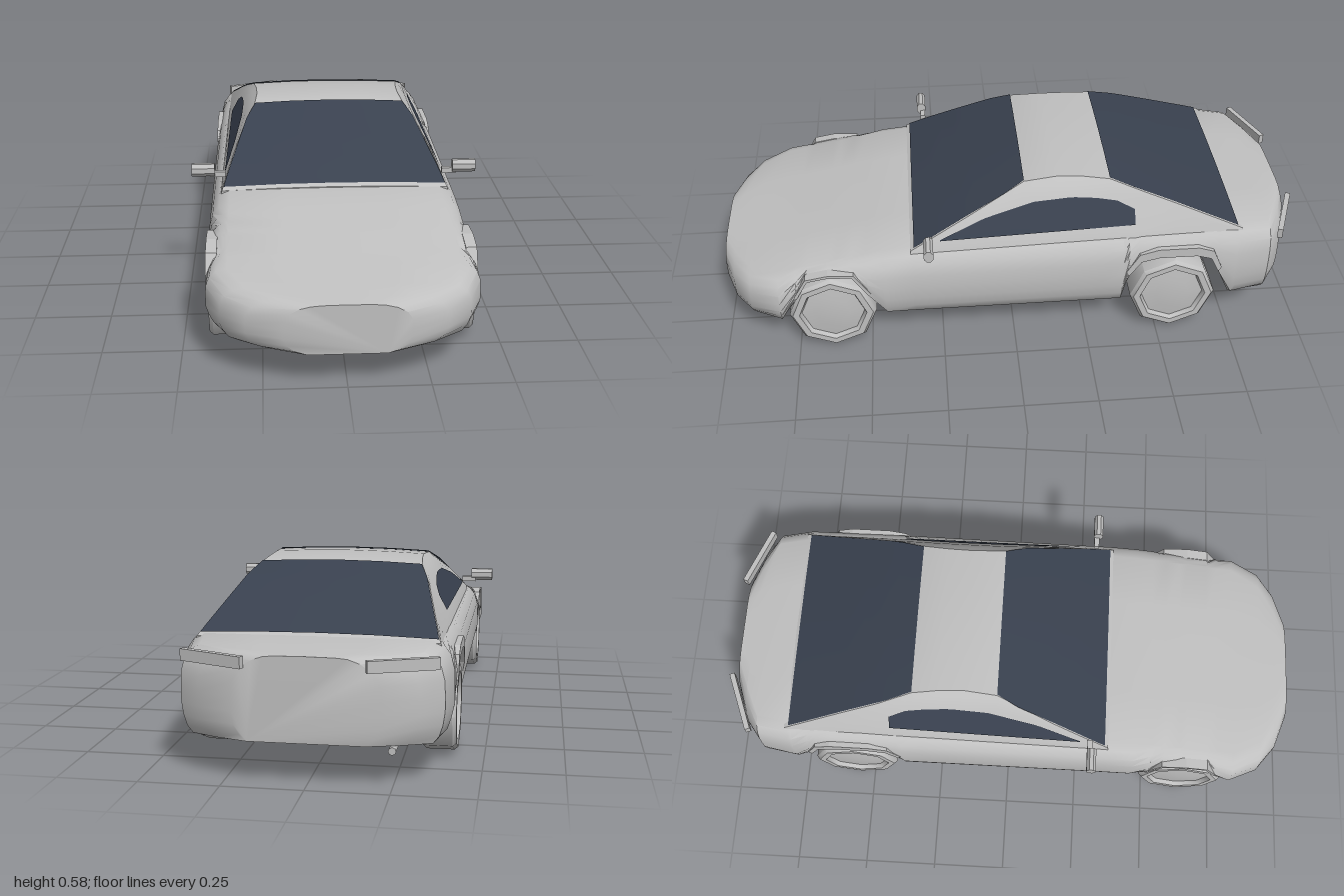
import * as THREE from 'three';
import { toCreasedNormals } from 'three/addons/utils/BufferGeometryUtils.js';

const paint = new THREE.MeshStandardMaterial({ color: 0xc0c0c0 });
paint.name = 'grey paint';
const glass = new THREE.MeshStandardMaterial({ color: 0x39414f, side: THREE.DoubleSide });
glass.name = 'dark glass';

// Piecewise linear lookup in a table of [position, value]
function at(table, t) {
  if (t <= table[0][0]) return table[0][1];
  for (let i = 1; i < table.length; i++) {
    const [a, va] = table[i - 1], [b, vb] = table[i];
    if (t <= b) return va + (vb - va) * (t - a) / (b - a);
  }
  return table[table.length - 1][1];
}

// Body tables along z: half width, deck height, underside with wheel arches
const bodyWidth = [[-0.97, 0.22], [-0.93, 0.33], [-0.88, 0.395], [-0.77, 0.415], [-0.5, 0.42],
  [0.8, 0.42], [0.9, 0.375], [0.96, 0.3], [1, 0.19]];
const deck = [[-0.97, 0.385], [-0.77, 0.403], [-0.3, 0.394], [0.34, 0.381], [0.44, 0.37],
  [0.6, 0.34], [0.8, 0.3], [1, 0.265]];
const rearArch = [[-0.76, 0.11], [-0.7, 0.25], [-0.67, 0.31], [-0.62, 0.325], [-0.49, 0.325],
  [-0.43, 0.31], [-0.39, 0.25], [-0.37, 0.11]];
const frontArch = [[0.44, 0.11], [0.5, 0.23], [0.55, 0.31], [0.63, 0.315], [0.7, 0.302], [0.74, 0.23], [0.8, 0.11]];
const underside = [[-0.97, 0.13], ...rearArch, ...frontArch, [1, 0.11]];
const sideCurve = [[0, 0.88], [0.08, 0.95], [0.3, 1], [0.68, 1], [0.85, 0.97], [0.95, 0.92], [1, 0.84]];
const endRounding = [[-0.97, 0.28], [-0.88, 0], [0.88, 0], [1, 0.26]];

// Cabin tables: roof height along z, half width by height
const roof = [[-0.78, 0.405], [-0.55, 0.492], [-0.45, 0.528], [-0.33, 0.568], [-0.24, 0.577], [-0.15, 0.58],
  [-0.04, 0.572], [0.15, 0.485], [0.25, 0.437], [0.35, 0.387]];
const cabinWidth = [[0.36, 0.385], [0.39, 0.375], [0.42, 0.36], [0.53, 0.3], [0.56, 0.272], [0.58, 0.25]];

// Skin through half sections (bottom to top on the left, mirrored), back to front
function loft(stations, halfSection, crease) {
  const rings = stations.map((z) => {
    const half = halfSection(z);
    const other = half.slice().reverse().filter(([x]) => x > 0).map(([x, y]) => [-x, y]);
    return [...half, ...other].map(([x, y]) => [x, y, z]);
  });
  const n = rings[0].length, pos = [], index = [];
  rings.forEach((r) => r.forEach((p) => pos.push(...p)));
  for (let i = 0; i < rings.length - 1; i++) {
    for (let j = 0; j < n; j++) {
      const k = (j + 1) % n, a = i * n + j, b = i * n + k, c = b + n, d = a + n;
      index.push(a, b, d, b, c, d);
    }
  }
  // End caps
  const last = (rings.length - 1) * n;
  for (let j = 1; j < n - 1; j++) index.push(0, j + 1, j, last, last + j, last + j + 1);
  const g = new THREE.BufferGeometry();
  g.setAttribute('position', new THREE.Float32BufferAttribute(pos, 3));
  g.setIndex(index);
  return toCreasedNormals(g, crease);
}

function bodySection(z) {
  const w = at(bodyWidth, z), h = at(deck, z), low = at(underside, z);
  const start = (low - 0.11) / (h - 0.11);
  const side = [0, 0.08, 0.2, 0.35, 0.52, 0.7, 0.85, 0.95, 1].map((u) => {
    const f = start + (1 - start) * u;
    const x = at(sideCurve, f) - at(endRounding, z) * (2 * f - 1) ** 4;
    return [w * x, 0.11 + (h - 0.11) * f];
  });
  return [...side, [w * 0.4, h + 0.003], [0, h + 0.004]];
}

// Height of the cabin top at fraction s of its half width
const roofEdge = (z) => at(roof, z) - 0.008;
const roofY = (s, z) => at([[0, at(roof, z)], [0.5, at(roof, z) - 0.002], [1, roofEdge(z)]], Math.abs(s));

function cabinSection(z) {
  const e = roofEdge(z);
  const side = [0, 0.15, 0.3, 0.55, 0.8, 0.92, 1].map((u) => {
    const y = 0.36 + (e - 0.36) * u;
    return [at(cabinWidth, y), y];
  });
  return [...side, [at(cabinWidth, e) * 0.5, roofY(0.5, z)], [0, roofY(0, z)]];
}

// Open sheet over a grid of parameters from 0 to 1
function sheet(nu, nv, fn) {
  const g = new THREE.PlaneGeometry(1, 1, nu, nv), p = g.attributes.position;
  for (let i = 0; i < p.count; i++) p.setXYZ(i, ...fn(p.getX(i) + 0.5, p.getY(i) + 0.5));
  g.computeVertexNormals();
  return g;
}

function screen(z0, z1) {
  return sheet(8, 16, (u, v) => {
    const z = z0 + (z1 - z0) * v, s = 2 * u - 1;
    return [s * at(cabinWidth, roofEdge(z)) * 0.99, roofY(s, z) + 0.004, z];
  });
}

function sideWindow(side) {
  const top = [[-0.41, 0.475], [-0.35, 0.503], [-0.28, 0.514], [-0.2, 0.52], [-0.07, 0.512], [0.1, 0.47], [0.25, 0.412]];
  return sheet(33, 6, (u, v) => {
    const z = -0.41 + 0.66 * u, low = 0.427 - 0.018 * u;
    const y = low + (at(top, z) - low) * v;
    return [side * (at(cabinWidth, y) + 0.005), y, z];
  });
}

// Raised lip that follows a wheel arch
function archLip(arch, centre, spreadZ, spreadY) {
  const inner = arch.slice(1, -1);
  const outer = inner.map(([z, y]) => [centre + (z - centre) * spreadZ, 0.15 + (y - 0.15) * spreadY]).reverse();
  const shape = new THREE.Shape([...inner, ...outer].map(([z, y]) => new THREE.Vector2(-z, y)));
  return new THREE.ExtrudeGeometry(shape, { depth: 0.035, bevelEnabled: false });
}

export function createModel() {
  const car = new THREE.Group();
  car.name = 'car';
  const add = (name, geometry, material, x = 0, y = 0, z = 0) => {
    const m = new THREE.Mesh(geometry, material);
    m.name = name;
    m.position.set(x, y, z);
    car.add(m);
    return m;
  };

  // Shell
  const bodyStations = [...new Set([...bodyWidth, ...deck, ...underside].map(([z]) => z))].sort((a, b) => a - b);
  add('body', loft(bodyStations, bodySection, 0.65), paint);
  add('cabin', loft(roof.map(([z]) => z), cabinSection, 0.65), paint);

  // Glass
  add('windshield', screen(-0.04, 0.338), glass);
  add('rearWindow', screen(-0.765, -0.33), glass);

  // Wheel profile, outer face upwards, with a dished hub
  const wheelProfile = [[0, -0.057], [0.13, -0.057], [0.148, -0.045], [0.148, 0.045], [0.137, 0.057],
    [0.115, 0.057], [0.107, 0.042], [0.06, 0.047], [0, 0.05]].map(([r, y]) => new THREE.Vector2(r, y));
  const wheel = toCreasedNormals(new THREE.LatheGeometry(wheelProfile, 8), 0.8);
  const mirrorHead = new THREE.CylinderGeometry(0.023, 0.023, 0.078, 8).rotateY(Math.PI / 8).rotateZ(Math.PI / 2);
  mirrorHead.scale(1, 1, 0.75);

  for (const side of [1, -1]) {
    const label = side > 0 ? 'left' : 'right';
    add(label + 'Window', sideWindow(side), glass);

    for (const [end, z] of [['Front', 0.625], ['Rear', -0.55]]) {
      add(label + end + 'Wheel', wheel, paint, side * 0.358, 0.148, z).rotation.z = -side * Math.PI / 2;
      const lip = end === 'Front' ? archLip(frontArch, z, 1.08, 1.06) : archLip(rearArch, z, 1.06, 1.2);
      add(label + end + 'ArchLip', lip, paint, side > 0 ? 0.386 : -0.421).rotation.y = Math.PI / 2;
    }

    // Door mirror
    add(label + 'MirrorStalk', new THREE.BoxGeometry(0.05, 0.018, 0.018), paint, side * 0.392, 0.417, 0.285);
    add(label + 'Mirror', toCreasedNormals(mirrorHead, 0.5), paint, side * 0.441, 0.434, 0.29);

    // Tail light bar, wrapped round the rear corner
    const light = add(label + 'TailLight', new THREE.BoxGeometry(0.215, 0.036, 0.018), paint, side * 0.28, 0.37, -0.95);
    light.rotation.y = -side * 0.38;
  }

  // Exhaust
  const pipe = new THREE.CylinderGeometry(0.012, 0.012, 0.07, 8).rotateX(Math.PI / 2);
  add('exhaust', pipe, paint, -0.25, 0.115, -0.92);
  return car;
}
